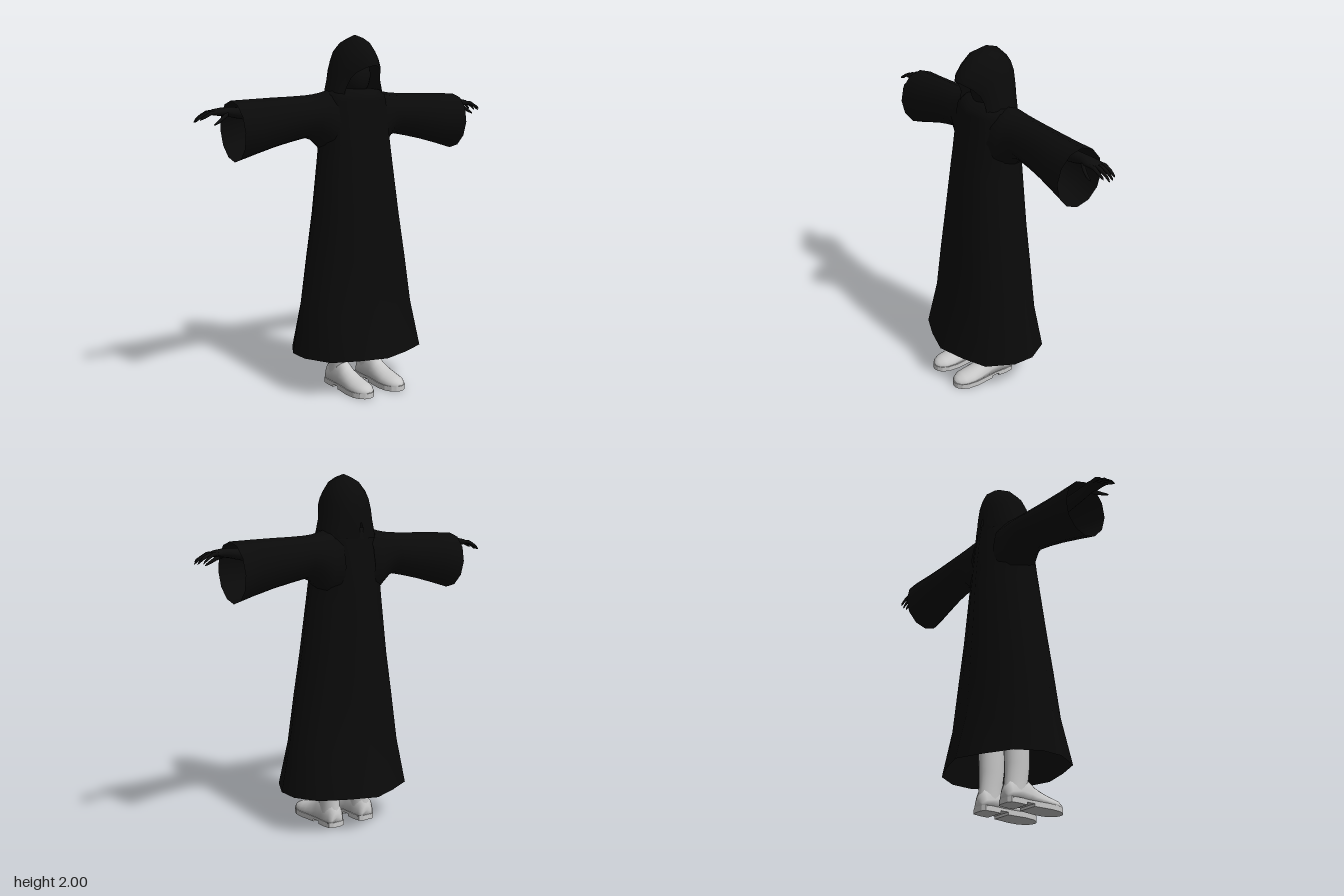
import * as THREE from 'three';

const mat = (name, color) => new THREE.MeshStandardMaterial({ name, color, side: THREE.DoubleSide });

// Skin a surface over a list of rings of [x, y, z] points
function loft(rings, { closed = true, capStart = false, capEnd = false } = {}) {
  const n = rings[0].length, pos = rings.flat(2), idx = [];
  const last = closed ? n : n - 1;
  for (let r = 0; r < rings.length - 1; r++) {
    for (let i = 0; i < last; i++) {
      const a = r * n + i, b = r * n + (i + 1) % n;
      idx.push(a, b, a + n, b, b + n, a + n);
    }
  }
  const cap = (r, flip) => {
    const c = pos.length / 3;
    for (let k = 0; k < 3; k++) pos.push(rings[r].reduce((s, p) => s + p[k], 0) / n);
    for (let i = 0; i < n; i++) {
      const a = r * n + i, b = r * n + (i + 1) % n;
      idx.push(...(flip ? [c, b, a] : [c, a, b]));
    }
  };
  if (capStart) cap(0, true);
  if (capEnd) cap(rings.length - 1, false);
  const g = new THREE.BufferGeometry();
  g.setAttribute('position', new THREE.Float32BufferAttribute(pos, 3));
  g.setIndex(idx);
  g.computeVertexNormals();
  return g;
}

const circle = (n, f) => Array.from({ length: n }, (_, i) => {
  const a = (i / n) * Math.PI * 2;
  return f(Math.cos(a), Math.sin(a));
});

// Limb running along x; each section is [x, y, z, ry, rz]
const limb = (s, n, sections) => loft(
  sections.map(([x, y, z, ry, rz]) => circle(n, (c, d) => [s * x, y + ry * c, z + rz * d])),
  { capStart: true, capEnd: true });

// Flat plate lying in xz from a half outline of [z, halfWidth]
function plate(outline, y0, y1) {
  const pts = [...outline.map(([z, w]) => [w, z]), ...outline.slice().reverse().map(([z, w]) => [-w, z])];
  const shape = new THREE.Shape(pts.map(([x, z]) => new THREE.Vector2(x, -z)));
  const g = new THREE.ExtrudeGeometry(shape, { depth: y1 - y0, bevelEnabled: false });
  return g.rotateX(-Math.PI / 2).translate(0, y0, 0);
}

export function createModel() {
  const cloth = mat('black cloth', 0x0a0a0a);
  const skin = mat('dark skin', 0x0c0c0c);
  const leather = mat('pale leather', 0xc8c8c8);
  const model = new THREE.Group();
  const add = (parent, name, geo, m) => {
    const mesh = new THREE.Mesh(geo, m);
    mesh.name = name;
    parent.add(mesh);
    return mesh;
  };

  // Robe: angular outline scaled up the body; [y, halfWidth, front, back]
  const half = [[0, 1], [0.42, 0.86], [0.8, 0.67], [1, 0.2], [1, -0.18], [0.8, -0.58], [0.4, -0.82], [0, -1]];
  const outline = [...half, ...half.slice(1, -1).reverse().map(([x, z]) => [-x, z])];
  const robe = [
    [0.22, 0.385, 0.327, 0.328], [0.48, 0.342, 0.256, 0.26], [0.75, 0.3, 0.235, 0.243],
    [1.0, 0.258, 0.213, 0.228], [1.3, 0.22, 0.178, 0.213], [1.4, 0.21, 0.163, 0.206],
    [1.55, 0.2, 0.14, 0.19], [1.64, 0.19, 0.132, 0.178], [1.67, 0.18, 0.125, 0.174],
    [1.695, 0.16, 0.09, 0.168], [1.705, 0.1, 0.06, 0.12]];
  add(model, 'robe', loft(robe.map(([y, w, f, b]) =>
    outline.map(([x, z]) => [x * w, y, z * (z > 0 ? f : b)])), { capEnd: true }), cloth);

  // Hood: arches from the face rim to the nape; [topY, topZ, halfWidth, bottomY, bottomZ]
  const arch = [[1.27, 0], [1.22, 0.14], [1.07, 0.37], [0.97, 0.57], [0.78, 0.77], [0.42, 0.92]];
  const fullArch = [...arch, [0, 1], ...arch.slice().reverse().map(([x, f]) => [-x, f])];
  const hood = [
    [1.835, 0.2, 0.1, 1.67, 0.085], [1.875, 0.192, 0.108, 1.66, 0.075], [1.93, 0.145, 0.12, 1.65, 0.06],
    [1.982, 0.08, 0.13, 1.65, 0.03], [2.0, 0, 0.134, 1.65, -0.02], [1.982, -0.07, 0.128, 1.65, -0.07],
    [1.925, -0.135, 0.105, 1.65, -0.115], [1.85, -0.157, 0.065, 1.65, -0.15], [1.74, -0.163, 0.01, 1.65, -0.17]];
  add(model, 'hood', loft(hood.map(([ty, tz, w, by, bz]) =>
    fullArch.map(([x, f]) => [x * w, by + (ty - by) * f, bz + (tz - bz) * f ** 3])), { closed: false }), cloth);

  // Head in the shadow of the hood
  const head = add(model, 'head', new THREE.SphereGeometry(1, 20, 14), skin);
  head.scale.set(0.088, 0.12, 0.09);
  head.position.set(0, 1.78, 0);

  // Sleeve sections: [x, top, bottom, back, front]
  const sleeve = [
    [0.1, 1.7, 1.3, -0.165, 0.11], [0.17, 1.695, 1.335, -0.165, 0.1], [0.21, 1.684, 1.38, -0.165, 0.085],
    [0.25, 1.676, 1.42, -0.162, 0.07], [0.3, 1.671, 1.437, -0.16, 0.062], [0.4, 1.667, 1.418, -0.16, 0.06],
    [0.5, 1.665, 1.396, -0.161, 0.066], [0.62, 1.661, 1.364, -0.17, 0.08], [0.755, 1.656, 1.33, -0.187, 0.096]];
  // Fingers: [baseZ, tipX, tipY, tipZ]
  const fingers = [[-0.022, 0.945, 1.56, -0.022], [-0.043, 0.962, 1.55, -0.048],
    [-0.064, 0.956, 1.55, -0.074], [-0.084, 0.938, 1.553, -0.102]];
  // Boot outlines and sections
  const soleEdge = [[-0.092, 0.03], [-0.08, 0.052], [-0.03, 0.06], [0.04, 0.057], [0.11, 0.064], [0.18, 0.072],
    [0.24, 0.067], [0.28, 0.048], [0.298, 0.025], [0.303, 0.008]];
  const foot = [[-0.088, 0.035, 0.08], [-0.07, 0.054, 0.13], [0, 0.055, 0.17], [0.06, 0.056, 0.15],
    [0.1, 0.059, 0.12], [0.15, 0.065, 0.098], [0.2, 0.068, 0.083], [0.25, 0.062, 0.074],
    [0.283, 0.043, 0.06], [0.298, 0.016, 0.042]];
  const shaft = [[0.04, -0.02, 0.052, 0.066], [0.1, -0.012, 0.052, 0.07], [0.16, -0.005, 0.053, 0.071],
    [0.22, -0.001, 0.057, 0.074], [0.36, -0.004, 0.061, 0.078], [0.52, -0.006, 0.063, 0.08]];

  for (const [s, side] of [[1, 'left'], [-1, 'right']]) {
    // Open wide sleeve, cuff slanting inward at the bottom
    add(model, side + 'Sleeve', loft(sleeve.map(([x, t, b, z0, z1], i) => circle(12, (c, d) => [
      s * (x - (i === sleeve.length - 1 ? 0.009 * (1 - c) : 0)),
      (t + b) / 2 + c * (t - b) / 2, (z0 + z1) / 2 + d * (z1 - z0) / 2]))), cloth);

    // Hand with forearm, four fingers and thumb
    const hand = new THREE.Group();
    hand.name = side + 'Hand';
    model.add(hand);
    add(hand, 'palm', limb(s, 12, [
      [0.45, 1.57, -0.05, 0.045, 0.045], [0.7, 1.59, -0.052, 0.032, 0.034], [0.77, 1.598, -0.053, 0.025, 0.032],
      [0.81, 1.6, -0.052, 0.022, 0.042], [0.85, 1.598, -0.053, 0.017, 0.043], [0.868, 1.596, -0.053, 0.01, 0.038]]), skin);
    fingers.forEach(([z, tx, ty, tz], i) => {
      const at = (t, y, r) => [0.845 + (tx - 0.845) * t, y, z + (tz - z) * t, r, r];
      add(hand, 'finger' + (i + 1), limb(s, 8, [at(0, 1.599, 0.0105), at(0.35, 1.596, 0.0105),
        at(0.7, 1.578, 0.009), at(0.93, ty + 0.008, 0.006), at(1, ty, 0.002)]), skin);
    });
    add(hand, 'thumb', limb(s, 8, [[0.785, 1.588, -0.03, 0.016, 0.016], [0.815, 1.572, -0.012, 0.013, 0.012],
      [0.845, 1.552, -0.004, 0.01, 0.009], [0.868, 1.54, -0.002, 0.006, 0.006], [0.876, 1.535, -0.002, 0.002, 0.002]]), skin);

    // Boot
    const boot = new THREE.Group();
    boot.name = side + 'Boot';
    boot.position.x = s * 0.108;
    model.add(boot);
    add(boot, 'shaft', loft(shaft.map(([y, z, rx, rz]) =>
      circle(20, (c, d) => [c * rx, y, z + d * rz])), { capEnd: true }), leather);
    add(boot, 'foot', loft(foot.map(([z, w, top]) => Array.from({ length: 13 }, (_, i) => {
      const a = (i / 12) * Math.PI;
      return [w * Math.cos(a), 0.024 + (top - 0.024) * Math.max(0, Math.sin(a)) ** 0.85, z];
    })), { capStart: true, capEnd: true }), leather);
    add(boot, 'sole', plate(soleEdge, 0.015, 0.03), leather);
    add(boot, 'tread', plate([[0.07, 0.06], ...soleEdge.slice(4)], 0, 0.016), leather);
    add(boot, 'heel', plate([...soleEdge.slice(0, 3), [0.02, 0.058]], 0, 0.016), leather);
  }
  return model;
}
